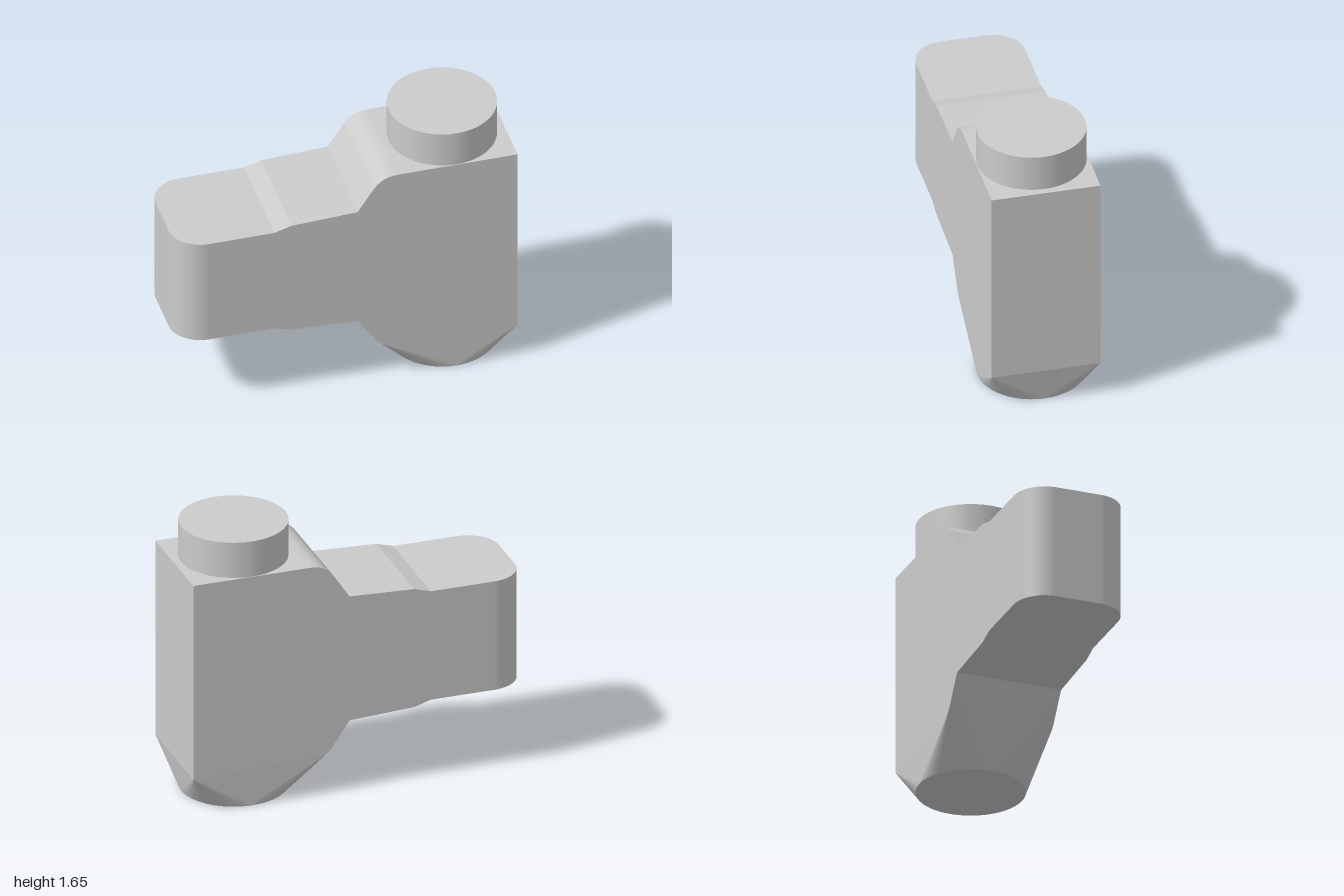
import * as THREE from 'three';
import { ConvexGeometry } from 'three/addons/geometries/ConvexGeometry.js';

const HALF = 0.317;                 // half thickness of the slab
const PIPE_X = 0.645, PIPE_R = 0.313;
const ARM_LOW = 0.49, ARM_HIGH = 1.17, ARM_JOIN = -0.43;

export function createModel() {
  const model = new THREE.Group();
  const material = new THREE.MeshStandardMaterial({ color: 0xcccccc });
  const add = (name, geometry) => {
    const mesh = new THREE.Mesh(geometry, material);
    mesh.name = name;
    model.add(mesh);
    return mesh;
  };

  // Main slab: side profile with a flared neck and a rounded shoulder
  const profile = new THREE.Shape();
  profile.moveTo(ARM_JOIN, ARM_LOW);
  profile.lineTo(-0.33, 0.46);
  profile.lineTo(0.06, 0.44);
  profile.lineTo(1, 0.44);
  profile.lineTo(1, 1.435);
  profile.lineTo(0.31, 1.435);
  profile.bezierCurveTo(0.25, 1.435, 0.2, 1.425, 0.155, 1.36);
  profile.lineTo(0.06, 1.217);
  profile.lineTo(-0.33, 1.2);
  profile.lineTo(ARM_JOIN, ARM_HIGH);
  profile.closePath();
  const slab = new THREE.ExtrudeGeometry(profile, { depth: 2 * HALF, bevelEnabled: false, curveSegments: 10 });
  slab.translate(0, 0, -HALF);
  add('body', slab);

  // Arm end: plan outline with two rounded corners
  const plan = new THREE.Shape();
  plan.moveTo(ARM_JOIN, -HALF);
  plan.lineTo(ARM_JOIN, HALF);
  plan.lineTo(-0.81, HALF);
  plan.absellipse(-0.81, 0.137, 0.19, 0.18, Math.PI / 2, Math.PI, false);
  plan.absellipse(-0.81, -0.137, 0.19, 0.18, Math.PI, Math.PI * 1.5, false);
  plan.closePath();
  const arm = new THREE.ExtrudeGeometry(plan, { depth: ARM_HIGH - ARM_LOW, bevelEnabled: false, curveSegments: 10 });
  arm.rotateX(-Math.PI / 2);
  arm.translate(0, ARM_LOW, 0);
  add('armEnd', arm);

  // Lower transition: square slab section blending into a round foot
  const points = [];
  for (const z of [-HALF, HALF]) {
    for (const [x, y] of [[0.06, 0.44], [0.17, 0.28], [0.2, 0.25], [1, 0.22], [1, 0.44]]) {
      points.push(new THREE.Vector3(x, y, z));
    }
  }
  const SEGMENTS = 48;
  for (let i = 0; i < SEGMENTS; i++) {
    const a = (i / SEGMENTS) * Math.PI * 2;
    points.push(new THREE.Vector3(PIPE_X + PIPE_R * Math.cos(a), 0, PIPE_R * Math.sin(a)));
  }
  add('taperedFoot', new ConvexGeometry(points));

  // Round boss on top
  const boss = add('topBoss', new THREE.CylinderGeometry(PIPE_R, PIPE_R, 0.22, SEGMENTS));
  boss.position.set(PIPE_X, 1.545, 0);

  return model;
}
